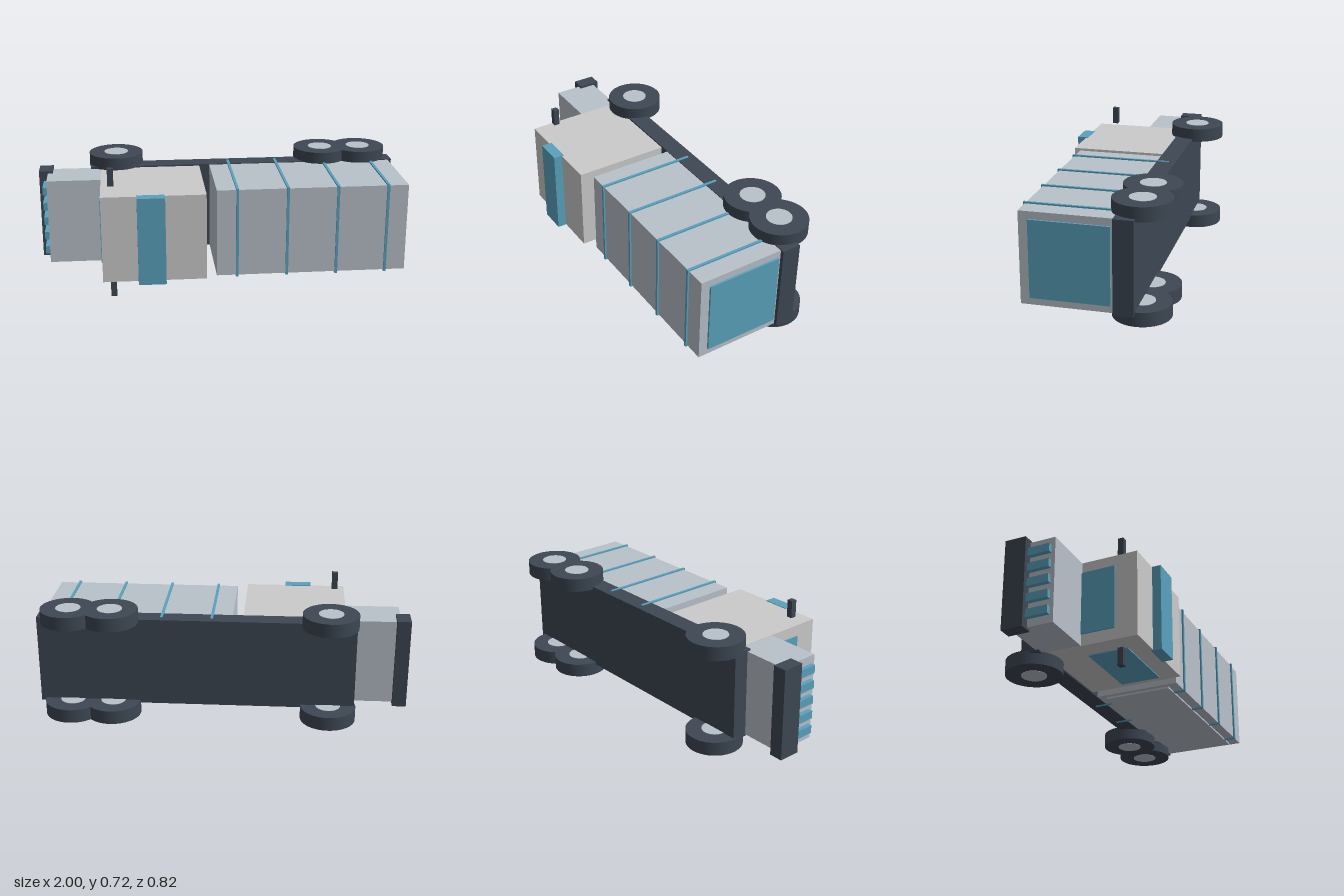
import * as THREE from 'three';

const material = (color) => new THREE.MeshStandardMaterial({ color });

export function createModel() {
  const truck = new THREE.Group();
  truck.name = 'truckOnItsSide';
  const light = material(0xcccccc);
  const steel = material(0xb9c1ca);
  const blue = material(0x5aa2bd);
  const dark = material(0x3d4753);
  const midY = 0.36;

  // Box given by its extents on each axis
  function box(name, mat, [x0, x1], [y0, y1], [z0, z1]) {
    const mesh = new THREE.Mesh(new THREE.BoxGeometry(x1 - x0, y1 - y0, z1 - z0), mat);
    mesh.position.set((x0 + x1) / 2, (y0 + y1) / 2, (z0 + z1) / 2);
    mesh.name = name;
    truck.add(mesh);
  }

  // Chassis and front end; the truck's roof faces +z and its nose -x
  box('chassis', dark, [-0.715, 1.0], [0.115, 0.605], [-0.257, -0.155]);
  box('bumper', dark, [-1.0, -0.925], [0.112, 0.608], [-0.205, -0.088]);
  box('hood', steel, [-0.952, -0.655], [0.125, 0.595], [-0.175, 0.053]);
  for (let i = -2; i <= 2; i++) {
    const y = midY + i * 0.085;
    box('grilleBar', blue, [-0.977, -0.95], [y - 0.022, y + 0.022], [-0.14, 0.033]);
  }

  // Cab with windows, roof fairing and mirrors
  box('cab', light, [-0.66, -0.107], [0.124, 0.597], [-0.16, 0.362]);
  box('windshield', blue, [-0.667, -0.65], [0.187, 0.537], [0.03, 0.24]);
  box('sideWindow', blue, [-0.55, -0.15], [0.118, 0.14], [0.04, 0.26]);
  box('roofFairing', blue, [-0.472, -0.325], [0.12, 0.6], [0.35, 0.41]);
  box('mirror', dark, [-0.621, -0.589], [0, 0.095], [0.235, 0.267]);
  box('mirror', dark, [-0.621, -0.589], [0.625, 0.72], [0.235, 0.267]);

  // Cargo body with bands, side panel and rear door
  box('cargoBody', steel, [-0.05, 0.98], [0.119, 0.601], [-0.16, 0.314]);
  box('sidePanel', steel, [-0.022, 0.95], [0.109, 0.13], [-0.115, 0.257]);
  box('rearDoor', blue, [0.97, 0.99], [0.157, 0.562], [-0.142, 0.265]);
  for (const x of [0.06, 0.33, 0.6, 0.87]) {
    box('cargoBand', blue, [x - 0.007, x + 0.007], [0.111, 0.609], [-0.22, 0.323]);
  }

  // Wheels: one front axle and two rear axles
  const tireGeometry = new THREE.CylinderGeometry(0.15, 0.15, 0.075, 40);
  const hubGeometry = new THREE.CylinderGeometry(0.067, 0.067, 0.079, 32);
  for (const x of [-0.573, 0.6, 0.823]) {
    for (const side of [-1, 1]) {
      const wheel = new THREE.Group();
      wheel.name = 'wheel';
      const tire = new THREE.Mesh(tireGeometry, dark);
      tire.name = 'tire';
      const hub = new THREE.Mesh(hubGeometry, steel);
      hub.name = 'hub';
      wheel.add(tire, hub);
      wheel.position.set(x, midY + side * 0.267, -0.259);
      truck.add(wheel);
    }
  }
  return truck;
}
